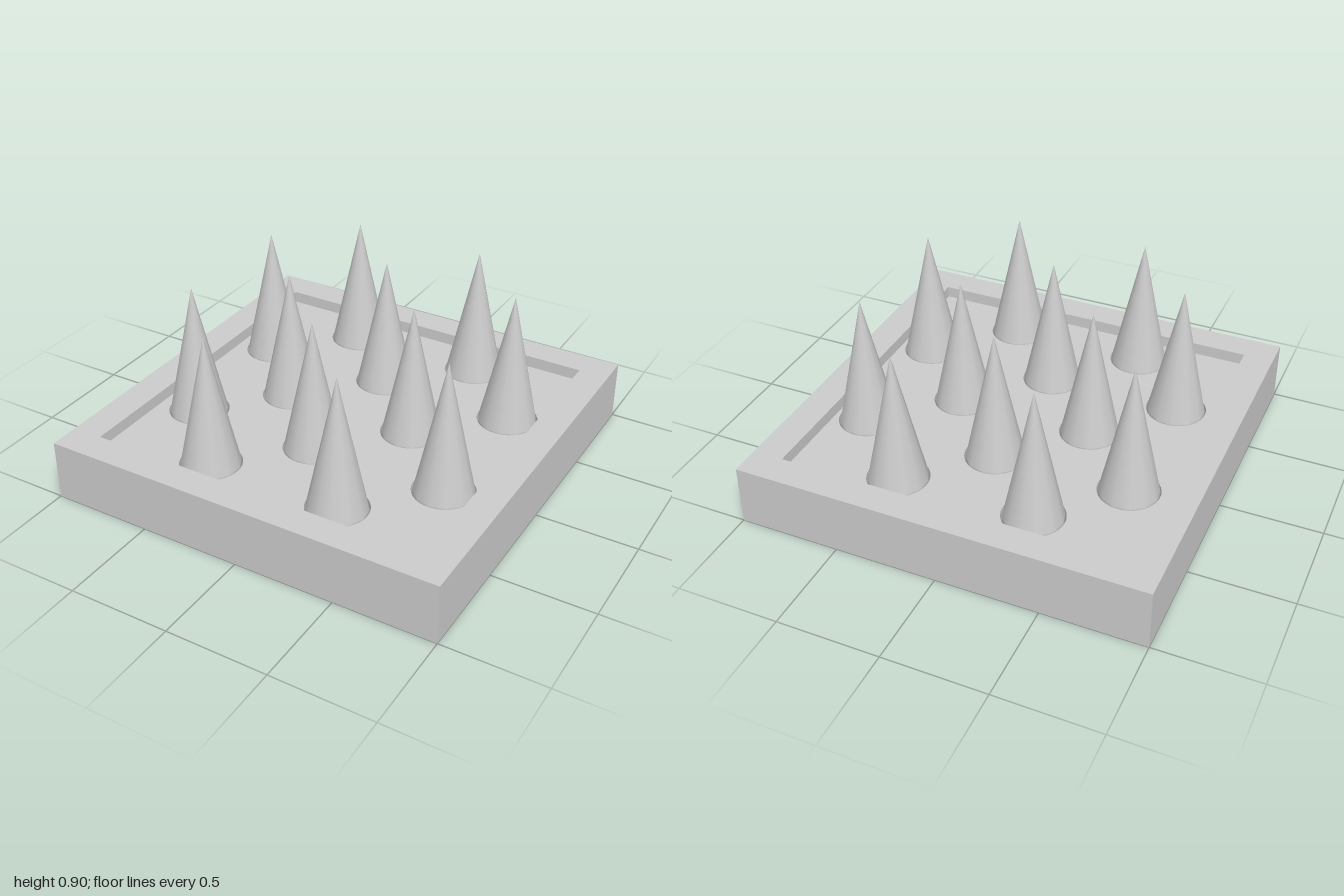
import * as THREE from 'three';

const FLOOR = 0.24, TOP = 0.3, TIP = 0.9, INNER = 0.85;
const HOLE_R = 0.147, SPIKE_R = 0.142, SPIKE_BOTTOM = 0.04;

// Spike centres (x, z), staggered row by row from back to front
const centres = [
  [-0.335, -0.68], [0.34, -0.68],
  [-0.66, -0.345], [0, -0.355], [0.685, -0.34],
  [-0.335, -0.005], [0.335, -0.005],
  [-0.655, 0.34], [0.005, 0.34], [0.685, 0.34],
  [-0.338, 0.685], [0.34, 0.687],
];

const square = (Type, h) => new Type([[-h, -h], [h, -h], [h, h], [-h, h]].map(([x, y]) => new THREE.Vector2(x, y)));

// Extrude a plan outline upward from y = 0
function slab(shape, height) {
  const geometry = new THREE.ExtrudeGeometry(shape, { depth: height, bevelEnabled: false, curveSegments: 32 });
  return geometry.rotateX(-Math.PI / 2);
}

export function createModel() {
  const group = new THREE.Group();
  const material = new THREE.MeshStandardMaterial({ color: 0xcccccc });
  const add = (parent, name, geometry, y = 0) => {
    const mesh = new THREE.Mesh(geometry, material);
    mesh.name = name;
    mesh.position.y = y;
    parent.add(mesh);
  };

  // Raised border around the plate
  const frame = square(THREE.Shape, 1);
  frame.holes.push(square(THREE.Path, INNER));
  add(group, 'rim', slab(frame, TOP));

  // Sunken floor pierced by the spike holes
  const floor = square(THREE.Shape, INNER);
  for (const [x, z] of centres) {
    floor.holes.push(new THREE.Path().absarc(x, -z, HOLE_R, 0, Math.PI * 2, true));
  }
  add(group, 'floor', slab(floor, FLOOR));

  // Spikes: a shank inside the hole and a tall cone above
  const shankHeight = FLOOR - SPIKE_BOTTOM;
  const shank = new THREE.CylinderGeometry(SPIKE_R, SPIKE_R, shankHeight, 12);
  const cone = new THREE.ConeGeometry(SPIKE_R, TIP - FLOOR, 12, 6, true);
  centres.forEach(([x, z], i) => {
    const spike = new THREE.Group();
    spike.name = 'spike' + (i + 1);
    spike.position.set(x, 0, z);
    spike.rotation.y = i * 0.7;
    add(spike, 'shank', shank, SPIKE_BOTTOM + shankHeight / 2);
    add(spike, 'point', cone, (FLOOR + TIP) / 2);
    group.add(spike);
  });

  return group;
}
